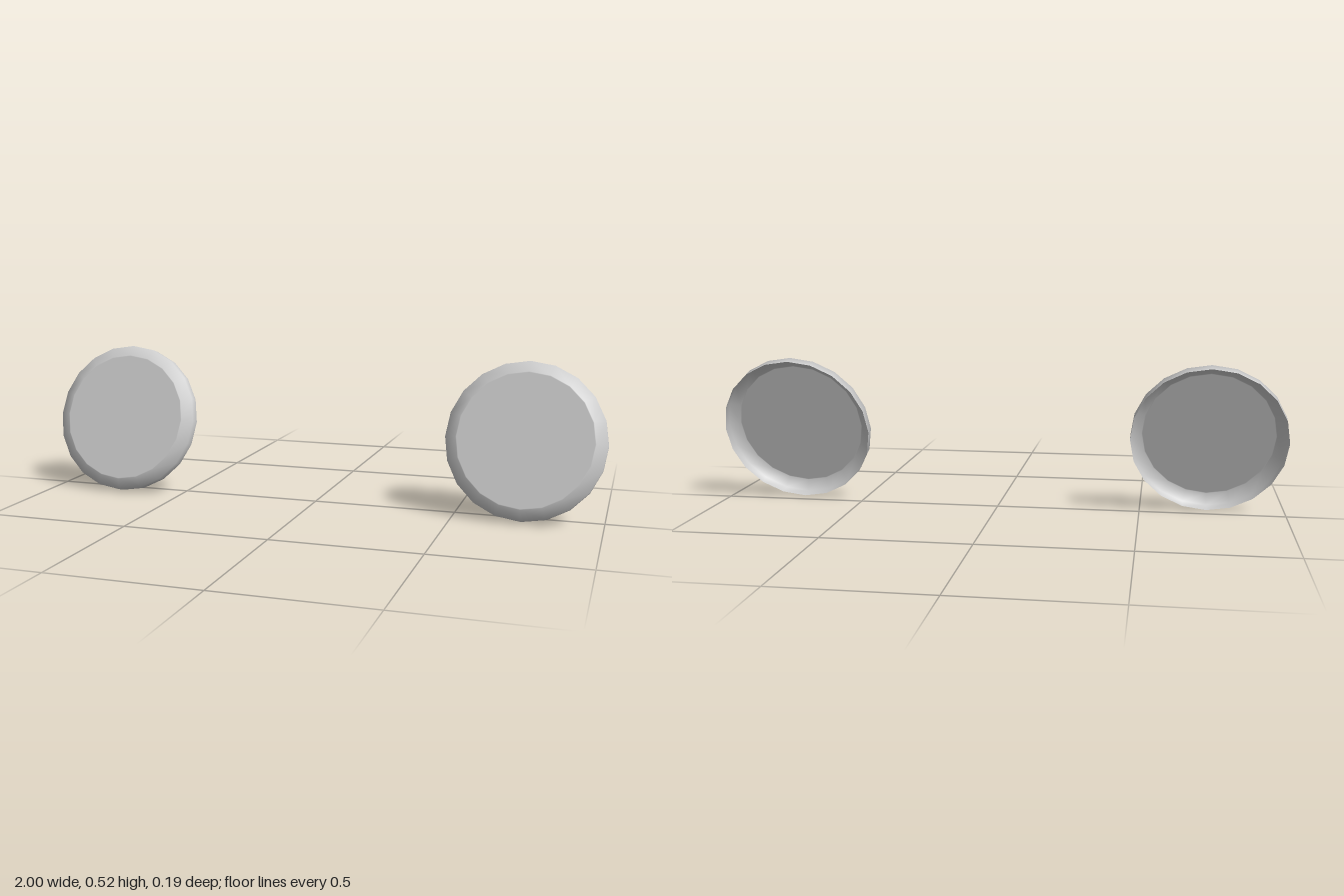
import * as THREE from 'three';

export function createModel() {
  const model = new THREE.Group();
  const material = new THREE.MeshStandardMaterial({ color: 0xcccccc, side: THREE.DoubleSide });

  // Shallow dish, open at the back: rim, side wall, bevel, flat front
  const profile = [
    [0.268, 0], [0.268, 0.036], [0.23, 0.054], [0.227, 0.054], [0, 0.054],
  ].map(([r, h]) => new THREE.Vector2(r, h));
  const dish = new THREE.LatheGeometry(profile, 20);

  // Lean the dish back so its front looks slightly upward
  const lean = 0.284;
  dish.rotateX(Math.PI / 2 - lean);

  // Mirrored pair
  for (const [name, side] of [['leftDisc', 1], ['rightDisc', -1]]) {
    const disc = new THREE.Mesh(dish, material);
    disc.name = name;
    disc.position.set(side * 0.732, 0.2575, -0.02);
    model.add(disc);
  }
  return model;
}
